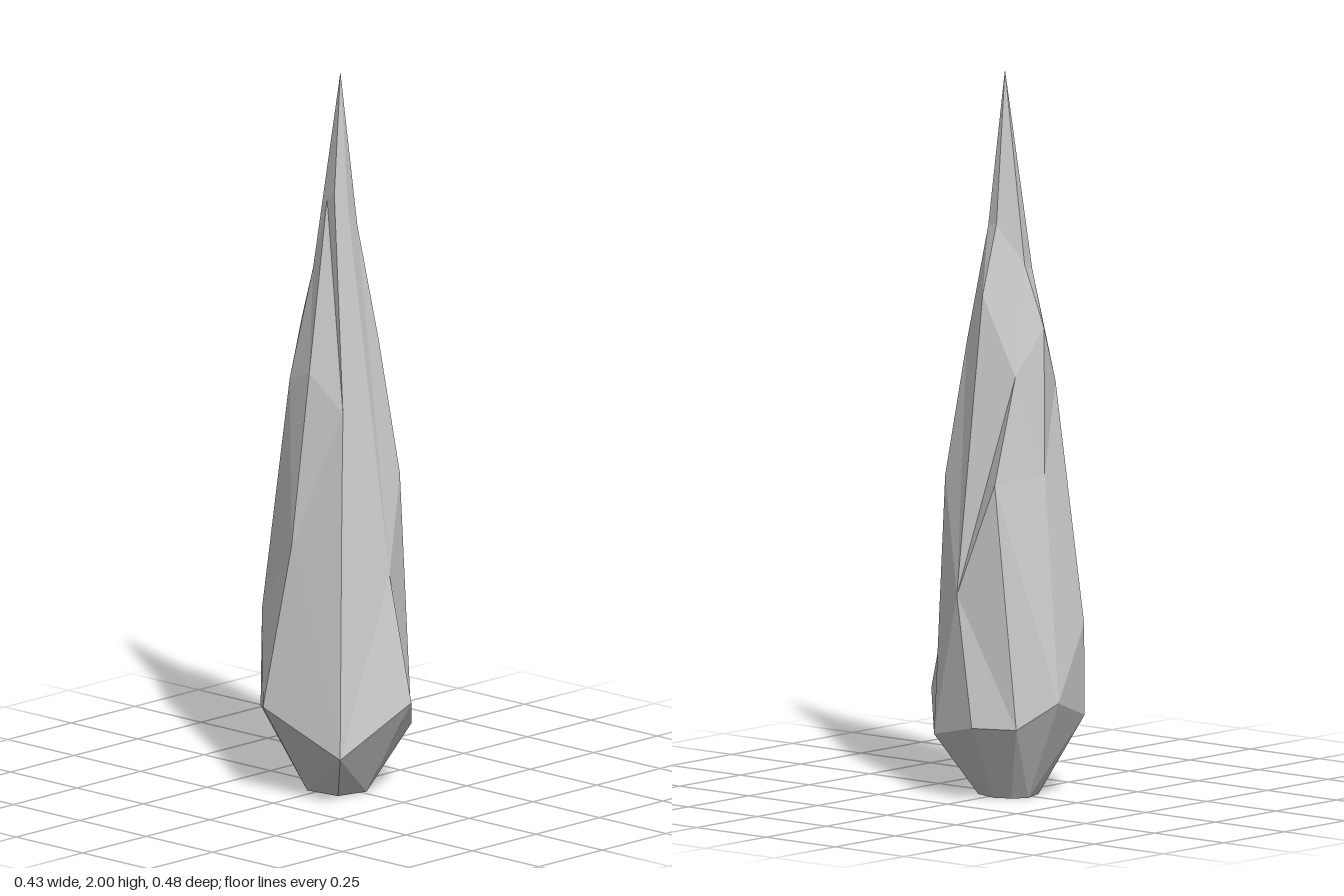
import * as THREE from 'three';

const TIP = [0.03, 2, -0.015];
const SHOULDER = [0.032, 1.47, -0.088]; // shared by two ridges at the back

// Ridges of the shard, counter-clockwise seen from above; points run upwards
const RIDGES = [
  [[0.043, 0.27, 0.24], [0.027, 0.62, 0.173], [0.018, 1.61, 0.027]],
  [[0.163, 0.17, 0.125], [0.125, 0.88, 0.118], [0.1, 1.25, 0.062], [0.064, 1.57, 0.016]],
  [[0.213, 0.21, -0.055], [0.2, 0.57, 0.01], [0.128, 1.39, -0.02], [0.073, 1.58, -0.022]],
  [[0.16, 0.21, -0.17], [0.175, 0.88, -0.105], [0.1, 1.17, -0.114], SHOULDER],
  [[0.065, 0.28, -0.24], [0.036, 0.9, -0.164], [0.018, 1.3, -0.146], SHOULDER],
  [[-0.12, 0.22, -0.172], [-0.08, 0.48, -0.205], [-0.066, 1.14, -0.114], [-0.02, 1.45, -0.07]],
  [[-0.214, 0.25, -0.073], [-0.157, 0.7, -0.02], [-0.105, 1.18, -0.003], [-0.012, 1.65, -0.025]],
  [[-0.18, 0.14, 0.185], [-0.11, 0.87, 0.125], [-0.08, 1.08, 0.1], [-0.025, 1.67, 0.015]],
];

function shardGeometry() {
  const positions = [];
  const triangle = (a, b, c) => {
    if (a !== b && b !== c && a !== c) positions.push(...a, ...b, ...c);
  };

  // Each ridge starts at the small foot and ends at the tip
  const columns = RIDGES.map((r) => [[r[0][0] * 0.4, 0, r[0][2] * 0.4], ...r, TIP]);

  columns.forEach((a, k) => {
    const b = columns[(k + 1) % columns.length];
    // Stitch neighbouring ridges, always stepping to the lower next point
    let i = 0, j = 0;
    while (i < a.length - 1 || j < b.length - 1) {
      const stepA = j === b.length - 1 || (i < a.length - 1 && a[i + 1][1] <= b[j + 1][1]);
      triangle(a[i], b[j], stepA ? a[i + 1] : b[j + 1]);
      if (stepA) i++; else j++;
    }
    // Foot cap
    triangle([0.01, 0, -0.01], b[0], a[0]);
  });

  const geometry = new THREE.BufferGeometry();
  geometry.setAttribute('position', new THREE.Float32BufferAttribute(positions, 3));
  geometry.computeVertexNormals();
  return geometry;
}

export function createModel() {
  const group = new THREE.Group();
  group.name = 'crystal';
  const material = new THREE.MeshStandardMaterial({ color: 0xcccccc, flatShading: true });
  const shard = new THREE.Mesh(shardGeometry(), material);
  shard.name = 'shard';
  group.add(shard);
  return group;
}
